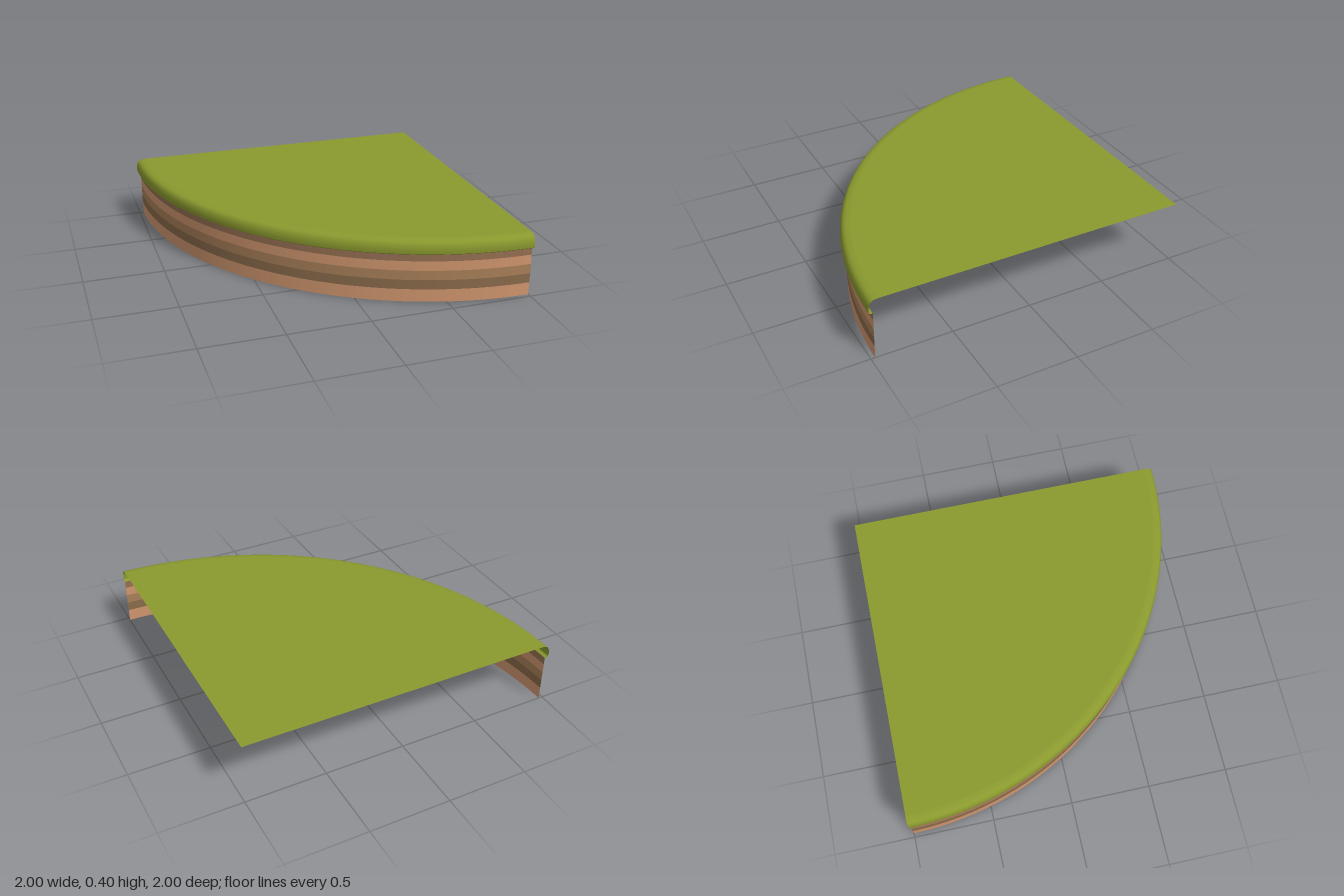
import * as THREE from 'three';

const SEGMENTS = 40;

// Sweeps a [radius, height] profile through a quarter turn about the back left corner
function quarterSweep(name, profile, color) {
  const points = profile.map(([r, y]) => new THREE.Vector2(r, y));
  const geometry = new THREE.LatheGeometry(points, SEGMENTS, -Math.PI / 2, Math.PI / 2);
  geometry.translate(1, 0, -1);
  const material = new THREE.MeshStandardMaterial({ color, side: THREE.DoubleSide });
  const mesh = new THREE.Mesh(geometry, material);
  mesh.name = name;
  return mesh;
}

export function createModel() {
  const group = new THREE.Group();
  group.name = 'quarterRoundGroundTile';
  const grass = 0x8a9a2e;

  // Flat grass sheet, open along both straight sides
  group.add(quarterSweep('grassTop', [[1.94, 0.397], [0, 0.397]], grass));

  // Rounded grass edge overhanging the earth wall
  group.add(quarterSweep('grassRim', [
    [1.998, 0.315], [2, 0.335], [1.998, 0.355], [1.992, 0.373],
    [1.982, 0.386], [1.965, 0.394], [1.94, 0.397],
  ], grass));
  group.add(quarterSweep('grassLip', [[1.975, 0.306], [1.99, 0.309], [1.998, 0.315]], grass));

  // Earth wall made of stacked coloured bands
  const levels = [0, 0.08, 0.14, 0.2, 0.26, 0.308];
  const colors = [0xd0966e, 0x8a6b4b, 0xa98059, 0xd0966e, 0x967052];
  const wall = new THREE.Group();
  wall.name = 'earthWall';
  colors.forEach((color, i) => {
    wall.add(quarterSweep(`earthBand${i + 1}`, [[1.975, levels[i]], [1.975, levels[i + 1]]], color));
  });
  group.add(wall);

  return group;
}
